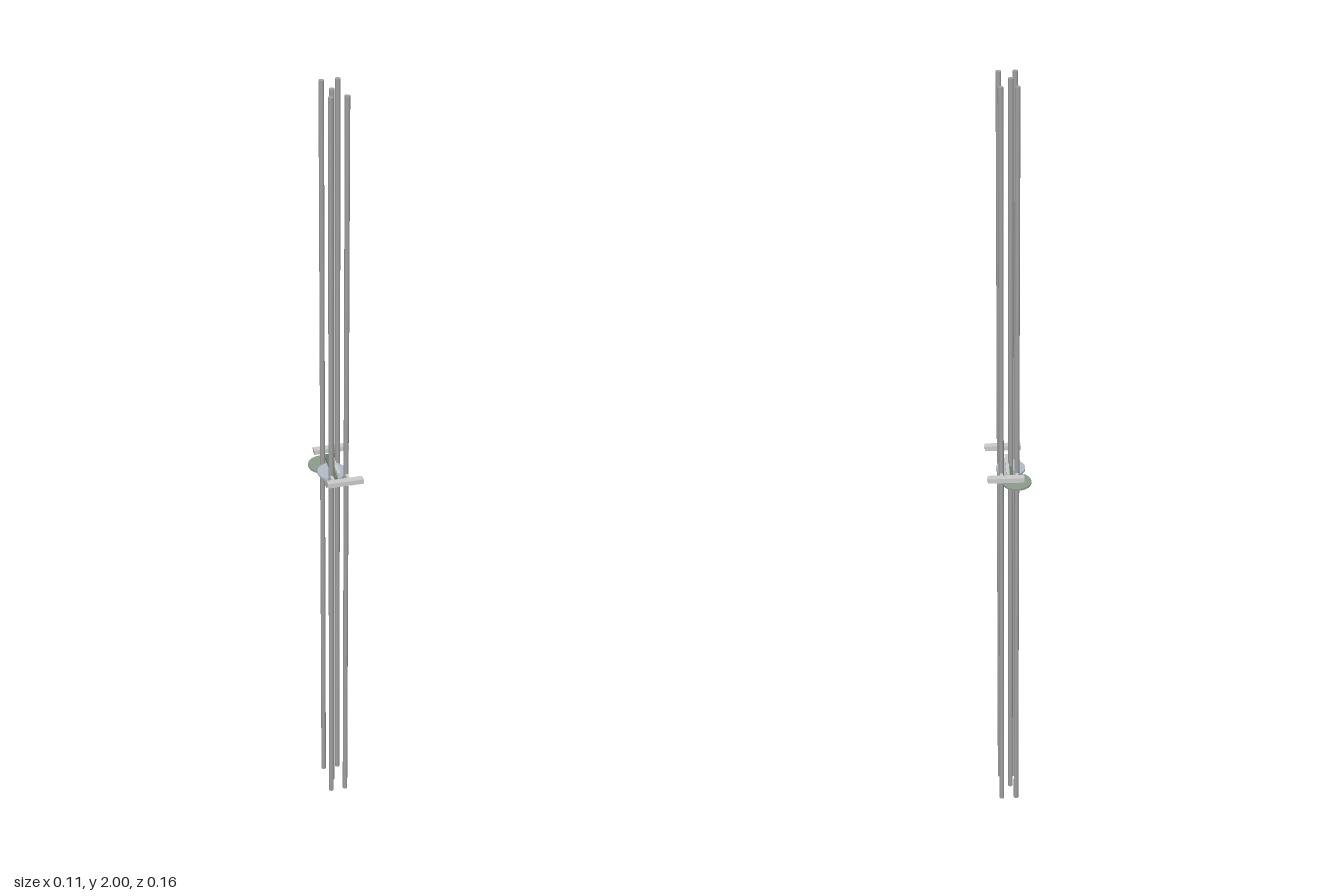
import * as THREE from 'three';

export function createModel() {
  const model = new THREE.Group();
  const mat = (color) => new THREE.MeshStandardMaterial({ color });
  const grey = mat(0xcccccc), steel = mat(0xa0a0a0), blue = mat(0xb2becb);
  const green = mat(0x8c9c8c), darkGreen = mat(0x6c7c6c);

  const add = (name, geometry, material, x, y, z) => {
    const mesh = new THREE.Mesh(geometry, material);
    mesh.name = name;
    mesh.position.set(x, y, z);
    model.add(mesh);
  };
  const box = (name, material, w, h, d, x, y, z) =>
    add(name, new THREE.BoxGeometry(w, h, d), material, x, y, z);
  const cylinder = (name, material, r, h, x, y, z) =>
    add(name, new THREE.CylinderGeometry(r, r, h, 40), material, x, y, z);

  // Long vertical rods: four corners and the central spindle
  const corners = [[-0.018, -0.047], [0.019, -0.047], [-0.018, 0.04], [0.019, 0.04]];
  for (const [x, z] of corners) cylinder('cornerRod', steel, 0.006, 2, x, 1, z);
  cylinder('centreRod', steel, 0.006, 2, -0.006, 1, 0);

  // Lower plate and rear disc
  box('basePlate', green, 0.051, 0.004, 0.07, -0.006, 0.987, 0.012);
  cylinder('rearDisc', green, 0.035, 0.005, -0.018, 0.987, -0.047);

  // Central disc
  cylinder('centreDisc', blue, 0.035, 0.005, -0.006, 0.996, 0);

  // Dark T-shaped lever
  box('leverArm', darkGreen, 0.01, 0.005, 0.098, -0.006, 1.002, -0.007);
  box('leverHead', darkGreen, 0.031, 0.005, 0.011, 0.001, 1.002, -0.057);

  // Upper frame: crossbars front and back, stubs to the rods, central link
  for (const s of [-1, 1]) {
    box('crossbar', grey, 0.087, 0.012, 0.016, 0.009, 1.012, s * 0.072);
    const inner = s < 0 ? 0.047 : 0.04;
    for (const x of [-0.018, 0.019])
      box('rodBracket', grey, 0.007, 0.008, 0.066 - inner, x, 1.012, s * (0.066 + inner) / 2);
  }
  box('centreLink', grey, 0.008, 0.008, 0.088, 0.003, 1.01, -0.008);

  return model;
}
